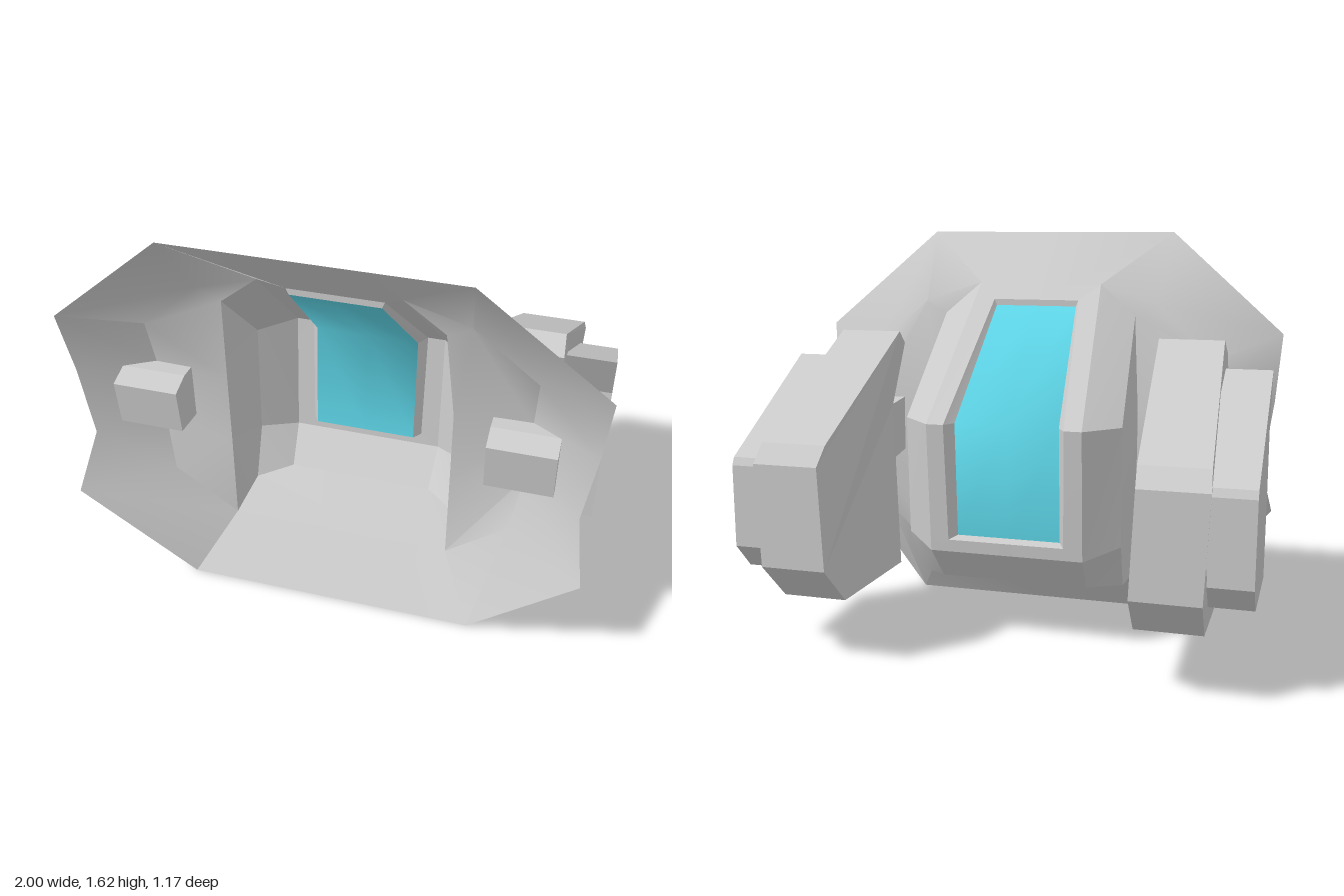
import * as THREE from 'three';
import { toCreasedNormals } from 'three/addons/utils/BufferGeometryUtils.js';

const grey = new THREE.MeshStandardMaterial({ color: 0xcccccc, side: THREE.DoubleSide });
const glass = new THREE.MeshStandardMaterial({ color: 0x5fd8ea, side: THREE.DoubleSide });

// Thin sheet from polygons of the +x half, mirrored across x = 0
function sheet(name, faces, material, crease) {
  const pos = [];
  const fan = (f) => {
    for (let i = 1; i < f.length - 1; i++) pos.push(...f[0], ...f[i], ...f[i + 1]);
  };
  for (const f of faces) {
    fan(f);
    fan(f.map(([x, y, z]) => [-x, y, z]).reverse());
  }
  const geo = new THREE.BufferGeometry();
  geo.setAttribute('position', new THREE.Float32BufferAttribute(pos, 3));
  const mesh = new THREE.Mesh(toCreasedNormals(geo, crease), material);
  mesh.name = name;
  return mesh;
}

// Side profile given as [z, y], extruded from x = a to b on the chosen side
function slab(name, profile, a, b, side, shift = () => 0) {
  const shape = new THREE.Shape(profile.map(([z, y]) => new THREE.Vector2(-z, y)));
  const geo = new THREE.ExtrudeGeometry(shape, { depth: b - a, bevelEnabled: false });
  geo.rotateY(Math.PI / 2);
  geo.translate(side > 0 ? a : -b, 0, 0);
  const p = geo.attributes.position;
  for (let i = 0; i < p.count; i++) p.setX(i, p.getX(i) + side * shift(p.getY(i)));
  geo.computeVertexNormals();
  const mesh = new THREE.Mesh(geo, grey);
  mesh.name = name;
  return mesh;
}

export function createModel() {
  const model = new THREE.Group();
  model.name = 'armourShell';
  const mid = ([, y, z]) => [0, y, z];

  // Outer rim, from the top round to the bottom
  const R0 = [0.53, 1.63, 0.585], R1 = [1, 1.22, 0.51], R2 = [0.98, 0.95, 0.46];
  const R3 = [0.94, 0.66, 0.46], R4 = [0.98, 0.45, 0.585], R5 = [0.57, 0.01, 0.475];
  // Fold between the rim and the flat of the collar
  const A = [0.74, 1.12, 0.33], B = [0.5, 1.34, 0.37], C = [0.26, 1.42, 0.385];
  const M2 = [0.73, 0.92, 0.29], M3 = [0.72, 0.66, 0.29], M4 = [0.68, 0.43, 0.33];
  // Opening of the central housing
  const D = [0.41, 1.29, 0.36], I1 = [0.44, 0.9, 0.295], I2 = [0.44, 0.6, 0.295], I3 = [0.44, 0.22, 0.3];
  // Housing side edge and back edge
  const E = [0.44, 0.9, -0.05], F = [0.44, 0.42, -0.03], G = [0.43, 0.23, 0.08];
  const T1 = [0.31, 0.9, -0.18], T2 = [0.31, 0.38, -0.14], T3 = [0.3, 0.24, -0.02];
  // Window hole and the inset pane
  const H0 = [0.18, 1.355, 0.315], H1 = [0.24, 0.9, -0.18], H2 = [0.235, 0.43, -0.145];
  const W0 = [0.17, 1.33, 0.315], W1 = [0.21, 0.9, -0.13], W2 = [0.21, 0.44, -0.1];

  model.add(sheet('collar', [
    [mid(R0), mid(H0), H0, C, R0],
    [R0, C, B], [R0, B, A, R1], [C, D, B],
    [B, D, I1, M2, A], [A, M2, R2, R1],
    [M2, I1, I2, M3], [M2, M3, R3, R2],
    [M3, I2, I3, M4], [M3, M4, R4, R3], [M4, I3, R5, R4],
    [I3, mid(I3), mid(R5), R5],
  ], grey, 0.55));

  model.add(sheet('housing', [
    [I1, D, E], [I2, I1, E, F], [I3, I2, F, G],
    [E, D, C, T1], [F, E, T1, T2], [G, F, T2, T3],
    [I3, G, T3, mid(T3), mid(I3)],
    [T3, T2, mid(T2), mid(T3)],
  ], grey, 0.3));

  model.add(sheet('windowFrame', [
    [T1, C, H0, H1], [T2, T1, H1, H2], [T2, H2, mid(H2), mid(T2)],
    [H1, H0, W0, W1], [H2, H1, W1, W2],
    [mid(H2), H2, W2, mid(W2)], [H0, mid(H0), mid(W0), W0],
  ], grey, 0.3));

  model.add(sheet('window', [
    [W1, W0, mid(W0), mid(W1)], [W2, W1, mid(W1), mid(W2)],
  ], glass, 1.1));

  // Side pods lean inward above and below their widest height
  const lean = (y) => (y > 0.8 ? -0.1 * (y - 0.8) : -0.045 * (0.8 - y));
  const podProfile = [
    [0.145, 1.225], [0.215, 1.17], [0.13, 0.915], [0.15, 0.675], [0.15, 0.22],
    [-0.425, 0.24], [-0.585, 0.4], [-0.585, 0.795], [-0.52, 0.865],
  ];
  const panelProfile = [
    [0.12, 1.12], [0.03, 0.92], [0.055, 0.65], [0.055, 0.32],
    [-0.385, 0.335], [-0.485, 0.44], [-0.485, 0.76], [-0.47, 0.79],
  ];
  const pegProfile = [[0.45, 0.905], [0.43, 0.715], [0.1, 0.67], [0.1, 0.91], [0.36, 0.93]];

  for (const side of [1, -1]) {
    const pod = new THREE.Group();
    pod.name = side > 0 ? 'leftPod' : 'rightPod';
    pod.add(slab('podBody', podProfile, 0.585, 0.84, side, lean));
    pod.add(slab('podOuterPanel', panelProfile, 0.76, 0.985, side));
    pod.add(slab('podPeg', pegProfile, 0.585, 0.838, side));
    model.add(pod);
  }
  return model;
}
